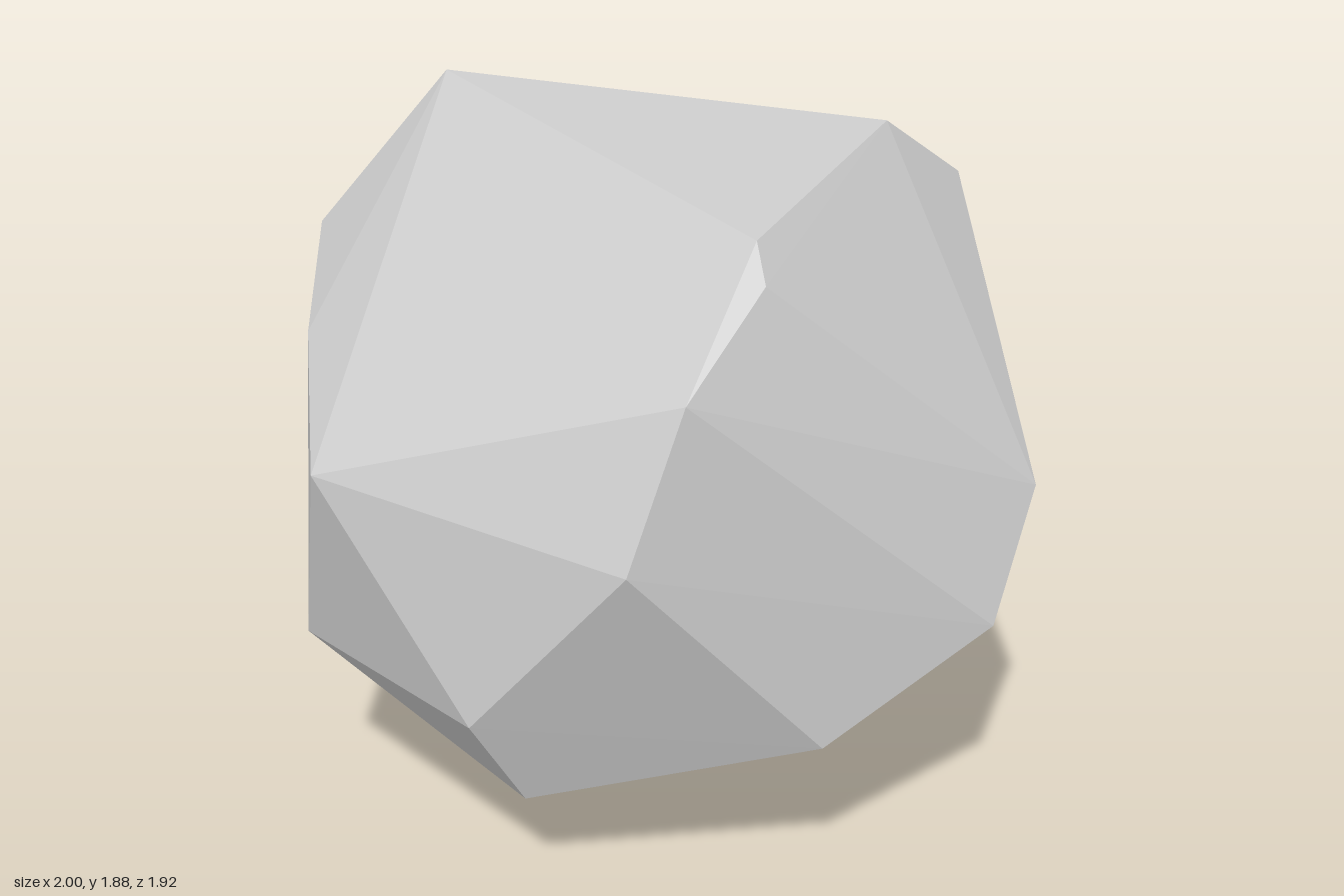
import * as THREE from 'three';
import { ConvexGeometry } from 'three/addons/geometries/ConvexGeometry.js';

// Corners of the boulder, grouped by region
const corners = {
  crown: [[-0.42, 1.88, -0.55], [0.58, 1.84, 0.12], [0.83, 1.65, 0.04], [0.02, 1.77, 0.66], [0.01, 1.69, 0.75]],
  front: [[-0.24, 1.49, 0.91], [-0.4, 1.1, 0.96], [0.76, 1.05, 0.73], [0.6, 0.74, 0.86], [0.12, 0.51, 0.92],
    [-0.57, 0.33, 0.64], [-0.72, 0.6, 0.69]],
  leftSide: [[1, 0.67, -0.08], [0.86, 0.89, 0.46], [0.94, 0.76, 0.2], [0.72, 1.03, -0.71], [0.63, 0.73, -0.74]],
  rightSide: [[-1, 1.15, 0.3], [-1, 0.59, 0.08], [-0.9, 1.32, -0.2], [-0.77, 1.46, -0.63]],
  back: [[0.21, 1.32, -0.89], [0.13, 0.88, -0.96], [0.02, 0.6, -0.95], [-0.23, 0.33, -0.78], [-0.35, 0.38, -0.69]],
  base: [[0.45, 0.09, 0.27], [0.38, 0.06, 0.18], [0.15, 0.02, -0.2], [-0.07, 0, -0.22], [-0.32, 0, -0.28],
    [-0.35, 0.18, -0.64]],
};

export function createModel() {
  const group = new THREE.Group();
  group.name = 'boulder';

  const stone = new THREE.MeshStandardMaterial({ color: 0xcccccc });
  stone.name = 'pale grey stone';

  // Faceted stone body spanned between the corners
  const points = Object.values(corners).flat().map((p) => new THREE.Vector3(...p));
  const body = new THREE.Mesh(new ConvexGeometry(points), stone);
  body.name = 'stoneBody';
  group.add(body);
  return group;
}
